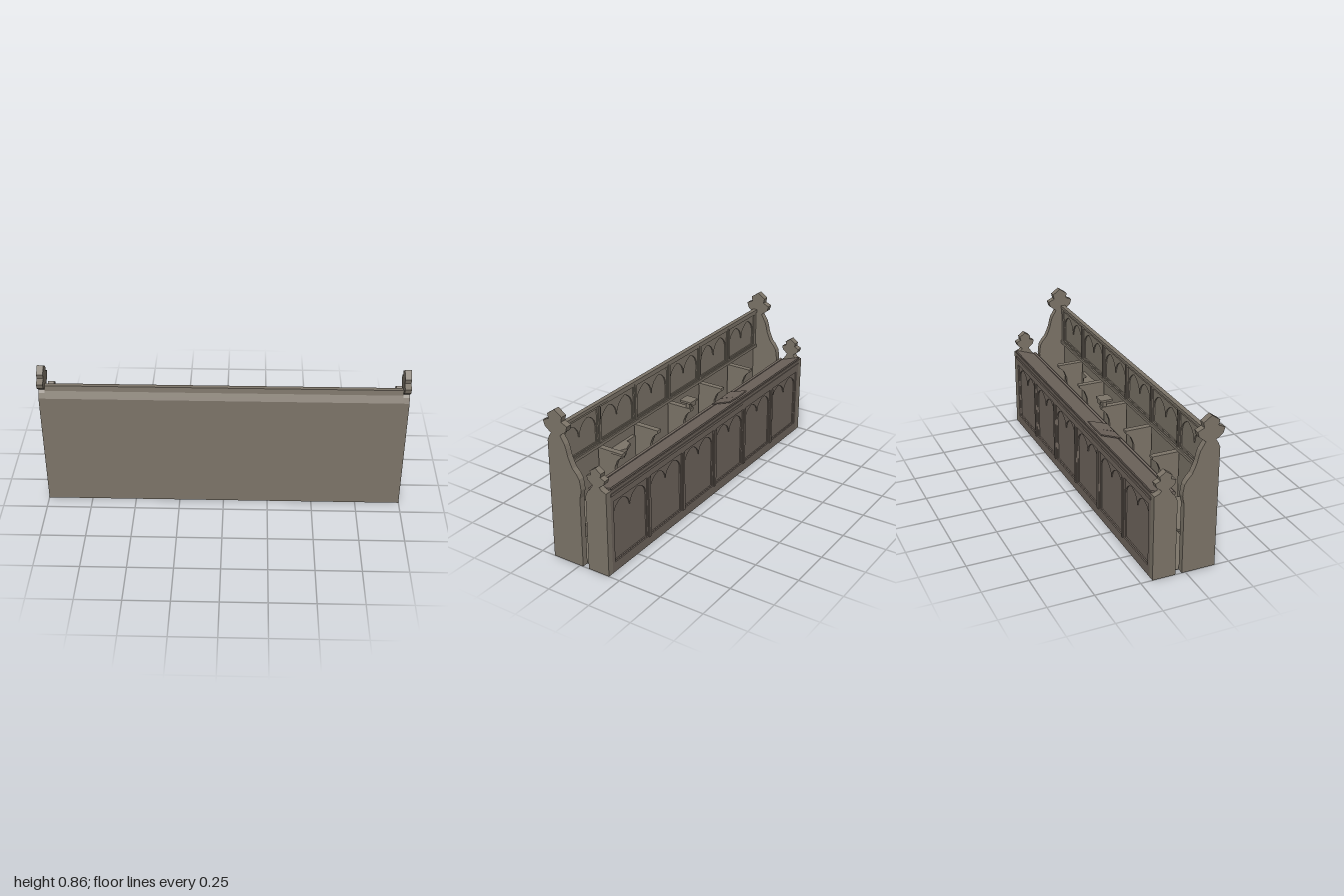
import * as THREE from 'three';

const oak = new THREE.MeshStandardMaterial({ color: 0x7c7468 });
oak.name = 'oak';
const darkOak = new THREE.MeshStandardMaterial({ color: 0x70665e });
darkOak.name = 'dark oak';

export function createModel() {
  const group = new THREE.Group();

  function add(name, geometry, material = oak) {
    const mesh = new THREE.Mesh(geometry, material);
    mesh.name = name;
    group.add(mesh);
    return mesh;
  }
  // Box given by its limits
  function box(name, x0, x1, y0, y1, z0, z1, material) {
    const g = new THREE.BoxGeometry(x1 - x0, y1 - y0, z1 - z0);
    g.translate((x0 + x1) / 2, (y0 + y1) / 2, (z0 + z1) / 2);
    return add(name, g, material);
  }
  // Side profile of [z, y] points carried from x0 to x1
  function slab(name, points, x0, x1, material) {
    const shape = new THREE.Shape(points.map(p => new THREE.Vector2(...p)));
    const g = new THREE.ExtrudeGeometry(shape, { depth: x1 - x0, bevelEnabled: false });
    g.rotateY(-Math.PI / 2).translate(x1, 0, 0);
    return add(name, g, material);
  }

  // Trefoil finial outline, from the neck on the +z side to the neck on the -z side
  function finial(z, y, s) {
    const half = [[0.028, 0], [0.066, 0.03], [0.075, 0.06], [0.039, 0.076], [0.045, 0.104]];
    const front = half.map(([a, b]) => [z + a * s, y + b * s]);
    const back = half.map(([a, b]) => [z - a * s, y + b * s]).reverse();
    return [...front, [z, y + 0.136 * s], ...back];
  }

  // Bench ends and desk ends
  const benchEnd = [[-0.02, 0], [0.167, 0], [0.167, 0.68], [0.155, 0.708],
    ...finial(0.115, 0.724, 1),
    [0.06, 0.68], [0.052, 0.655], [0.044, 0.62], [0.032, 0.59], [0.018, 0.56],
    [-0.005, 0.535], [-0.021, 0.51], [-0.027, 0.48], [-0.03, 0.45], [-0.026, 0.425], [-0.02, 0.4]];
  const deskEnd = [[-0.057, 0], [-0.057, 0.43], [-0.07, 0.46], [-0.085, 0.476],
    ...finial(-0.124, 0.505, 0.75).map(([z, y]) => [z, y]),
    [-0.157, 0.491], [-0.185, 0.48], [-0.185, 0]];
  for (const x of [-1, 0.965]) {
    slab('benchEnd', benchEnd, x, x + 0.035);
    slab('deskEnd', deskEnd, x, x + 0.035);
  }

  // Back wall and floor
  slab('backWall', [[0.139, 0], [0.167, 0], [0.167, 0.68], [0.15, 0.72], [0.146, 0.75], [0.139, 0.75]],
    -0.965, 0.965);
  box('floor', -0.965, 0.965, 0, 0.003, -0.184, 0.16);

  // Carved screens: an outer frame with a thinner twin-arched layer behind it
  const pitch = 0.319, bayWidth = 0.288;
  const bayCentres = [0, 1, 2, 3, 4, 5].map(i => (i - 2.5) * pitch);

  function twinArch(c, w, y0, spring, top) {
    const h = w / 2, rise = top - spring;
    const p = new THREE.Path();
    p.moveTo(c - h, y0);
    p.lineTo(c + h, y0);
    p.lineTo(c + h, spring);
    p.quadraticCurveTo(c + h * 0.96, spring + rise * 0.75, c + h / 2, top);
    p.quadraticCurveTo(c + h * 0.04, spring + rise * 0.75, c, spring);
    p.quadraticCurveTo(c - h * 0.04, spring + rise * 0.75, c - h / 2, top);
    p.quadraticCurveTo(c - h * 0.96, spring + rise * 0.75, c - h, spring);
    p.closePath();
    return p;
  }
  function rectangle(c, w, y0, y1) {
    return new THREE.Path([[-1, y0], [1, y0], [1, y1], [-1, y1]]
      .map(([s, y]) => new THREE.Vector2(c + s * w / 2, y)));
  }
  function pierced(name, y0, y1, z, depth, holes, material) {
    const shape = new THREE.Shape(rectangle(0, 1.93, y0, y1).getPoints());
    shape.holes.push(...holes);
    const g = new THREE.ExtrudeGeometry(shape, { depth, bevelEnabled: false, curveSegments: 8 });
    g.translate(0, 0, z);
    add(name, g, material);
  }
  function screen(name, d, material) {
    pierced(name + 'Frame', d.bottom, d.top, d.z, 0.007,
      bayCentres.map(c => rectangle(c, bayWidth, d.sill, d.head)), material);
    pierced(name + 'Arches', d.bottom, d.top, d.z + 0.007, 0.007,
      bayCentres.map(c => twinArch(c, bayWidth - 0.012, d.sill + 0.004, d.spring, d.apex)), material);
  }
  screen('backScreen', { bottom: 0.5, top: 0.75, z: 0.125, sill: 0.525, head: 0.72, spring: 0.615, apex: 0.7 });
  box('backRail', -0.965, 0.965, 0.5, 0.518, 0.117, 0.14);
  box('backTopRail', -0.965, 0.965, 0.732, 0.75, 0.121, 0.14);

  // Desk body, arcaded front and mullions
  slab('deskBody', [[-0.171, 0], [-0.057, 0], [-0.057, 0.43], [-0.07, 0.45], [-0.171, 0.483]],
    -0.965, 0.965, darkOak);
  screen('deskScreen', { bottom: 0, top: 0.48, z: -0.185, sill: 0.056, head: 0.41, spring: 0.325, apex: 0.396 },
    darkOak);
  for (let i = 1; i < 6; i++) {
    const x = (i - 3) * pitch;
    box('deskMullion', x - 0.009, x + 0.009, 0.05, 0.405, -0.19, -0.18, darkOak);
    box('backMullion', x - 0.006, x + 0.006, 0.518, 0.732, 0.121, 0.132);
  }
  box('deskCornice', -0.965, 0.965, 0.447, 0.462, -0.189, -0.18, darkOak);

  // Sloping desk top with a book ledge
  slab('deskTop', [[-0.187, 0.488], [-0.06, 0.445], [-0.06, 0.455], [-0.187, 0.5]], -0.965, 0.965, darkOak);
  slab('bookLedge', [[-0.071, 0.45], [-0.052, 0.445], [-0.05, 0.458], [-0.06, 0.468], [-0.071, 0.464]],
    -0.965, 0.965, darkOak);

  // Open book lying on the slope: two slightly turned pages
  for (const side of [-1, 1]) {
    const page = add('bookPage', new THREE.BoxGeometry(0.092, 0.007, 0.122), darkOak);
    page.position.set(-0.255 + side * 0.047, 0.487, -0.119);
    page.rotation.set(0.34, side * 0.03, side * 0.05);
  }

  // Seat dividers with curved arm rests
  const divider = [[-0.018, 0], [0.126, 0], [0.126, 0.5], [-0.03, 0.5], [-0.03, 0.482],
    [-0.015, 0.472], [0.005, 0.45], [0.02, 0.41], [0.024, 0.36], [0.016, 0.3], [-0.005, 0.25], [-0.018, 0.23]];
  for (let i = 1; i < 6; i++) {
    const x = (i - 3) * 0.322;
    slab('seatDivider', divider, x - 0.011, x + 0.011);
    box('armRest', x - 0.016, x + 0.016, 0.487, 0.5, -0.03, 0.125);
  }

  // Seats: one of the six is tipped up, showing its bracket
  for (let i = 0; i < 6; i++) {
    const x = (i - 2.5) * 0.322;
    if (i !== 4) {
      box('seat', x - 0.147, x + 0.147, 0.215, 0.23, -0.024, 0.139);
      continue;
    }
    box('raisedSeat', x - 0.147, x + 0.147, 0.215, 0.43, 0.12, 0.139);
    const outline = new THREE.Shape([[-0.07, 0], [-0.062, 0.03], [-0.03, 0.04], [0, 0.053],
      [0.03, 0.04], [0.062, 0.03], [0.07, 0]].map(p => new THREE.Vector2(...p)));
    for (const [y, s, depth] of [[0.43, 1, 0.018], [0.412, 0.65, 0.045]]) {
      const g = new THREE.ExtrudeGeometry(outline, { depth, bevelEnabled: false });
      g.scale(s, s, 1).rotateX(-Math.PI / 2).translate(x, y - depth, 0.122);
      add('seatBracket', g);
    }
  }

  // Small shelf on a post over the middle arm rest
  box('shelfPost', -0.012, 0.012, 0.5, 0.54, -0.022, 0.002);
  box('shelf', -0.036, 0.036, 0.538, 0.55, -0.044, 0.028);
  box('shelfDrop', -0.02, 0.02, 0.521, 0.54, -0.044, -0.037);

  return group;
}
